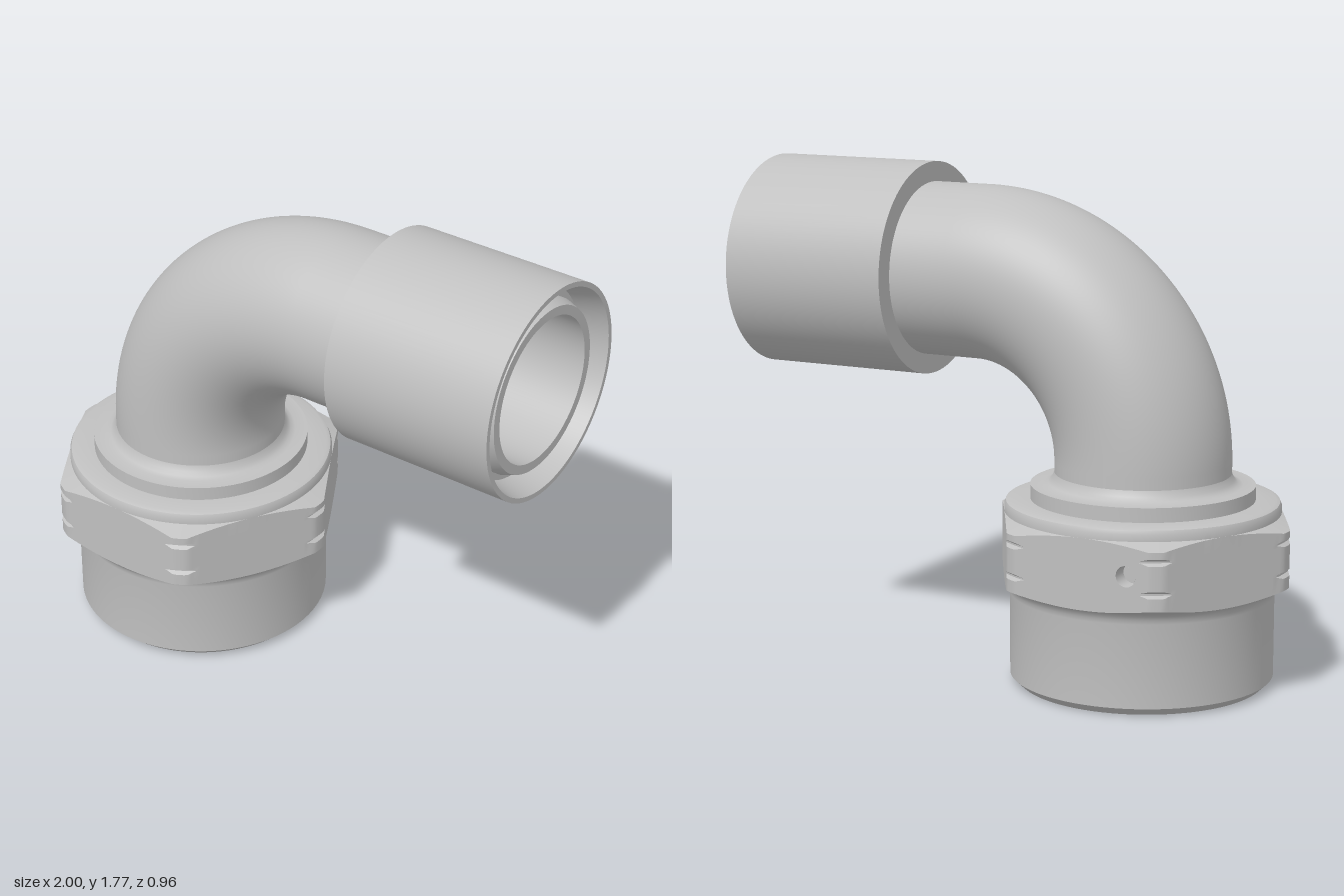
import * as THREE from 'three';
import { toCreasedNormals } from 'three/addons/utils/BufferGeometryUtils.js';

const AXIS_X = -0.46, AXIS_Y = 1.397;        // axes of the upright and the level pipe
const BEND = 0.617, BEND_X = AXIS_X + BEND, BEND_Y = AXIS_Y - BEND;
const APOTHEM = 0.48;                        // hexagon, centre to flat

const metal = new THREE.MeshStandardMaterial({ color: 0xc0c0c0, side: THREE.DoubleSide });
metal.name = 'grey metal';

function part(name, geometry) {
  const mesh = new THREE.Mesh(geometry, metal);
  mesh.name = name;
  return mesh;
}

function turned(profile) {
  const points = profile.map(([r, y]) => new THREE.Vector2(r, y));
  return toCreasedNormals(new THREE.LatheGeometry(points, 96), 0.5);
}

// A turned profile whose radius is clipped by a hexagon; clipped rows slide
// along their chamfer so that the chamfer meets the flats in a clean curve.
function hexTurned(profile, skipCell) {
  const N = 240, position = [], index = [];
  profile.forEach(([r, y], i) => {
    const lower = [profile[i - 1], profile[i + 1]].find((q) => q && q[0] < r);
    for (let j = 0; j <= N; j++) {
      const a = ((j % N) / N) * Math.PI * 2;
      const hex = APOTHEM / Math.cos((a % (Math.PI / 3)) - Math.PI / 6);
      let yy = y;
      if (r > hex && lower) {
        const t = Math.max(0, (hex - lower[0]) / (r - lower[0]));
        yy = lower[1] + (y - lower[1]) * t;
      }
      const rr = Math.min(r, hex);
      position.push(rr * Math.cos(a), yy, rr * Math.sin(a));
    }
  });
  for (let i = 0; i < profile.length - 1; i++) {
    for (let j = 0; j < N; j++) {
      if (skipCell(profile[i][1], j)) continue;
      const a = i * (N + 1) + j, d = a + N + 1;
      index.push(a, d, a + 1, d, d + 1, a + 1);
    }
  }
  const g = new THREE.BufferGeometry();
  g.setAttribute('position', new THREE.Float32BufferAttribute(position, 3));
  g.setIndex(index);
  return toCreasedNormals(g, 0.5);
}

// Upright pipe, quarter bend and level pipe of one radius
function elbow(name, radius, bottom, end) {
  const group = new THREE.Group();
  group.name = name;
  const straight = (length) => new THREE.CylinderGeometry(radius, radius, length, 96, 1, true);

  const upright = part(name + 'Upright', straight(BEND_Y - bottom));
  upright.position.set(AXIS_X, (BEND_Y + bottom) / 2, 0);

  const bend = part(name + 'Bend', new THREE.TorusGeometry(BEND, radius, 96, 64, Math.PI / 2));
  bend.rotation.z = Math.PI / 2;
  bend.position.set(BEND_X, BEND_Y, 0);

  const level = part(name + 'Level', straight(end - BEND_X));
  level.rotation.z = -Math.PI / 2;
  level.position.set((BEND_X + end) / 2, AXIS_Y, 0);

  group.add(upright, bend, level);
  return group;
}

// Flat panel with a drilled blind hole, filling the gap left in the rear flat
function drilledPanel(y0, y1) {
  const group = new THREE.Group();
  group.name = 'drilledPanel';
  const x0 = -APOTHEM * Math.tan(THREE.MathUtils.degToRad(24));
  const x1 = -APOTHEM * Math.tan(THREE.MathUtils.degToRad(12));
  const cx = -0.165, cy = (y0 + y1) / 2, r = 0.036, depth = 0.06;

  const shape = new THREE.Shape([[x0, y0], [x1, y0], [x1, y1], [x0, y1]].map((p) => new THREE.Vector2(...p)));
  shape.holes.push(new THREE.Path().absarc(cx, cy, r, 0, Math.PI * 2, true));
  const g = new THREE.ShapeGeometry(shape, 24);
  // turn the faces to look backwards
  g.setIndex(Array.from(g.index.array).reverse());
  g.computeVertexNormals();
  const panel = part('panel', g);
  panel.position.z = -APOTHEM;

  const wall = part('holeWall', new THREE.CylinderGeometry(r, r, depth, 32, 1, true));
  wall.rotation.x = Math.PI / 2;
  wall.position.set(cx, cy, -APOTHEM + depth / 2);

  const floor = part('holeFloor', new THREE.CircleGeometry(r, 32));
  floor.rotation.y = Math.PI;
  floor.position.set(cx, cy, -APOTHEM + depth);

  group.add(panel, wall, floor);
  return group;
}

export function createModel() {
  const model = new THREE.Group();
  model.name = 'pipeElbowFitting';

  // Hex union nut: bore, skirt, hexagon with two corner notches, round collar
  const notch = (y) => [[0.54, y - 0.012], [0.526, y - 0.003], [0.526, y + 0.003], [0.54, y + 0.012]];
  const holeLow = 0.455, holeHigh = 0.535;
  const nut = new THREE.Group();
  nut.name = 'unionNut';
  nut.add(
    part('nutBody', hexTurned([
      [0.257, 0.2], [0.37, 0.2], [0.37, 0.03], [0.39, 0], [0.43, 0], [0.46, 0.028],
      [0.46, 0.32], [0.463, 0.335], [0.47, 0.349], [0.48, 0.36], [0.54, 0.385],
      ...notch(0.44), [0.54, holeLow], [0.54, holeHigh], ...notch(0.55),
      [0.54, 0.585], [0.48, 0.607], [0.48, 0.63], [0.474, 0.644], [0.46, 0.65], [0.38, 0.65],
    ], (y, j) => y === holeLow && j >= 164 && j < 172)),
    drilledPanel(holeLow, holeHigh),
  );
  nut.position.x = AXIS_X;
  model.add(nut);

  // Flange ring with a fillet running into the pipe
  const flange = part('flangeRing', turned([
    [0.39, 0.64], [0.39, 0.7], [0.345, 0.7], [0.328, 0.706], [0.315, 0.719], [0.307, 0.74],
  ]));
  flange.position.x = AXIS_X;
  model.add(flange);

  // Pipe lip inside the nut
  const lip = part('lowerLip', turned([[0.257, 0.12], [0.28, 0.12], [0.28, 0.2]]));
  lip.position.x = AXIS_X;
  model.add(lip);

  model.add(elbow('outerPipe', 0.307, 0.68, 0.38), elbow('pipeBore', 0.257, 0.12, 0.97));

  // End sleeve with a tapered mouth around the pipe end
  const sleeve = part('endSleeve', turned([
    [0.3, 0.37], [0.378, 0.37], [0.378, 1], [0.36, 1], [0.333, 0.9],
    [0.305, 0.9], [0.305, 0.93], [0.29, 0.97], [0.257, 0.97],
  ]));
  sleeve.rotation.z = -Math.PI / 2;
  sleeve.position.y = AXIS_Y;
  model.add(sleeve);

  return model;
}
